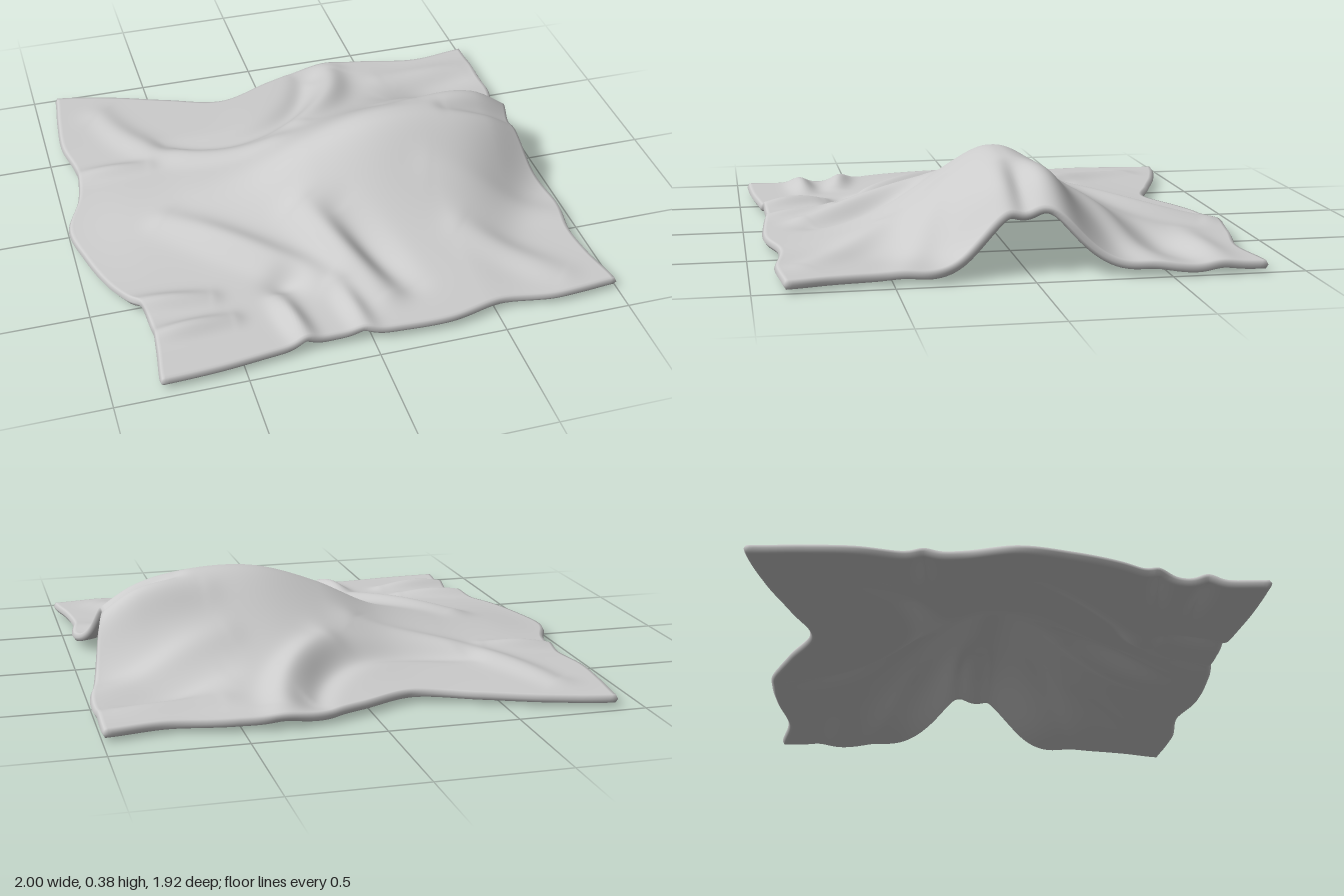
import * as THREE from 'three';

const N = 150;           // grid cells per side
const THICK = 0.032;     // cloth thickness
const BASE = 0.056;      // height of the upper face where the cloth lies flat

// Smooth function of t in 0..1 through evenly spaced values
function wave(values) {
  const spline = new THREE.SplineCurve(values.map((v, i) => new THREE.Vector2(i, v)));
  return (t) => spline.getPoint(THREE.MathUtils.clamp(t, 0, 1)).y;
}

// Hem lines: z along the back and front, x along the left and right of the plan
const backZ = wave([-0.95, -0.89, -0.8, -0.72, -0.81, -0.885, -0.865, -0.82, -0.85]);
const frontZ = wave([0.95, 0.94, 0.915, 0.895, 0.915, 0.92, 0.875, 0.9, 0.88]);
const lowX = wave([-0.9, -0.92, -0.93, -0.9, -0.92, -0.99, -0.96, -0.9, -0.8, -0.79, -0.81]);
const highX = wave([0.99, 0.99, 0.99, 0.955, 0.92, 0.88, 0.905, 0.96, 0.94, 0.955, 0.99]);

// Crest of the hump from x = -1 to x = 1, above the flat level
const crest = wave([0, 0.035, 0.07, 0.13, 0.25, 0.33, 0.335, 0.285, 0.14]);

// Folds: height (negative for a valley), x and z of both ends, sideways bow
const folds = [
  [0.05, 0.05, -0.33, 0.34, -0.82, 0.06],
  [-0.035, -0.5, -0.42, 0.2, -0.78, 0.22],
  [0.03, -0.74, -0.76, -0.1, -0.19, 0.15],
  [0.03, -0.92, -0.33, -0.62, -0.3],
  [0.025, 0.45, -0.3, 1, -0.46],
  [-0.02, 0.5, -0.48, 0.95, -0.62],
  [0.025, 0.55, -0.68, 1, -0.68],
  [0.03, 0.5, -0.11, 0.93, -0.11],
  [-0.035, 0.6, 0.01, 0.93, 0.02],
  [0.02, 0.45, 0.27, 0.95, 0.46],
  [0.05, -0.1, 0.27, 0.1, 0.75],
  [-0.035, 0.05, 0.33, 0.2, 0.72],
  [0.025, 0.5, 0.5, 0.8, 0.8],
  [0.045, -0.62, 0.12, -0.1, 0.62],
  [0.04, -0.3, 0.66, -0.25, 0.92],
  [0.03, -0.06, 0.66, -0.02, 0.92],
  [0.035, -0.88, 0.53, -0.55, 0.58],
  [0.04, -0.82, 0.73, -0.5, 0.72],
];

// Gaussian bump along a bowed line, fading toward both ends; short folds are narrower
function foldHeight([amp, ax, az, bx, bz, bow = 0], x, z) {
  const dx = bx - ax, dz = bz - az, length = Math.hypot(dx, dz);
  const s = ((x - ax) * dx + (z - az) * dz) / (length * length);
  const t = THREE.MathUtils.clamp(s, 0, 1);
  const side = ((z - az) * dx - (x - ax) * dz) / length - 4 * bow * t * (1 - t);
  const distance = Math.hypot(side, (s - t) * length);
  const width = length < 0.4 ? 0.045 : 0.07;
  return amp * (0.45 + 0.55 * Math.sin(Math.PI * t)) * Math.exp(-((distance / width) ** 2));
}

function heightAt(x, z) {
  // Tent-like hump, narrowing to an open arch at the +x hem
  const k = THREE.MathUtils.smoothstep(x, 0.45, 0.95);
  const d = Math.abs(z - 0.03 + 0.04 * k);
  const spread = THREE.MathUtils.lerp(0.34, 0.2, k);
  const power = THREE.MathUtils.lerp(1.5, 2.3, k);
  const round = Math.sqrt(d * d + 0.0009) - 0.03;
  let y = BASE + crest((x + 1) / 2) * Math.exp(-((round / spread) ** power));
  for (const fold of folds) y += foldHeight(fold, x, z);
  // Small sag touching the ground near the front hem
  y -= 0.035 * Math.exp(-(((x + 0.25) / 0.07) ** 2) - ((z - 0.58) / 0.06) ** 2);
  // Soft floor keeps the underside above the ground
  const floor = THICK + 0.004, e = y - floor;
  return floor + 0.5 * (e + Math.sqrt(e * e + 0.0002));
}

// Upper face: the four hem lines blended across the grid, then lifted
function clothGrid() {
  const { lerp } = THREE.MathUtils;
  const points = [];
  for (let j = 0; j <= N; j++) for (let i = 0; i <= N; i++) {
    const u = i / N, v = j / N;
    const x = lerp(lowX(v), highX(v), u), z = lerp(backZ(u), frontZ(u), v);
    points.push(new THREE.Vector3(x, heightAt(x, z), z));
  }
  return points;
}

function clothGeometry() {
  const top = clothGrid(), row = N + 1, count = top.length;
  const faces = [];
  for (let j = 0; j < N; j++) for (let i = 0; i < N; i++) {
    const a = j * row + i, b = a + 1, c = a + row, d = c + 1;
    faces.push(a, c, b, b, c, d);
  }
  const sheet = new THREE.BufferGeometry().setFromPoints(top);
  sheet.setIndex(faces);
  sheet.computeVertexNormals();
  const normals = top.map((_, i) => new THREE.Vector3().fromBufferAttribute(sheet.attributes.normal, i));

  // Underside: the same sheet pushed inward and flipped
  const points = [...top, ...top.map((p, i) => p.clone().addScaledVector(normals[i], -THICK))];
  const index = [...faces];
  for (let f = 0; f < faces.length; f += 3) index.push(faces[f] + count, faces[f + 2] + count, faces[f + 1] + count);

  // Rounded hem joining both faces
  const rim = [];
  for (let j = 0; j < N; j++) rim.push(j * row);
  for (let i = 0; i < N; i++) rim.push(N * row + i);
  for (let j = N; j > 0; j--) rim.push(j * row + N);
  for (let i = N; i > 0; i--) rim.push(i);
  const M = rim.length, mid = points.length;
  rim.forEach((r, k) => {
    const along = top[rim[(k + 1) % M]].clone().sub(top[rim[(k + M - 1) % M]]);
    const out = along.cross(normals[r]).normalize();
    points.push(points[r].clone().lerp(points[r + count], 0.5).addScaledVector(out, 0.01));
  });
  for (let k = 0; k < M; k++) {
    const n = (k + 1) % M, a = rim[k], b = rim[n], p = mid + k, q = mid + n;
    index.push(a, p, b, b, p, q, p, a + count, q, q, a + count, b + count);
  }
  const geometry = new THREE.BufferGeometry().setFromPoints(points);
  geometry.setIndex(index);
  geometry.computeVertexNormals();
  return geometry;
}

export function createModel() {
  const group = new THREE.Group();
  group.name = 'drapedCloth';
  const cloth = new THREE.Mesh(clothGeometry(),
    new THREE.MeshStandardMaterial({ color: 0xcccccc, side: THREE.DoubleSide }));
  cloth.name = 'cloth';
  group.add(cloth);
  return group;
}
